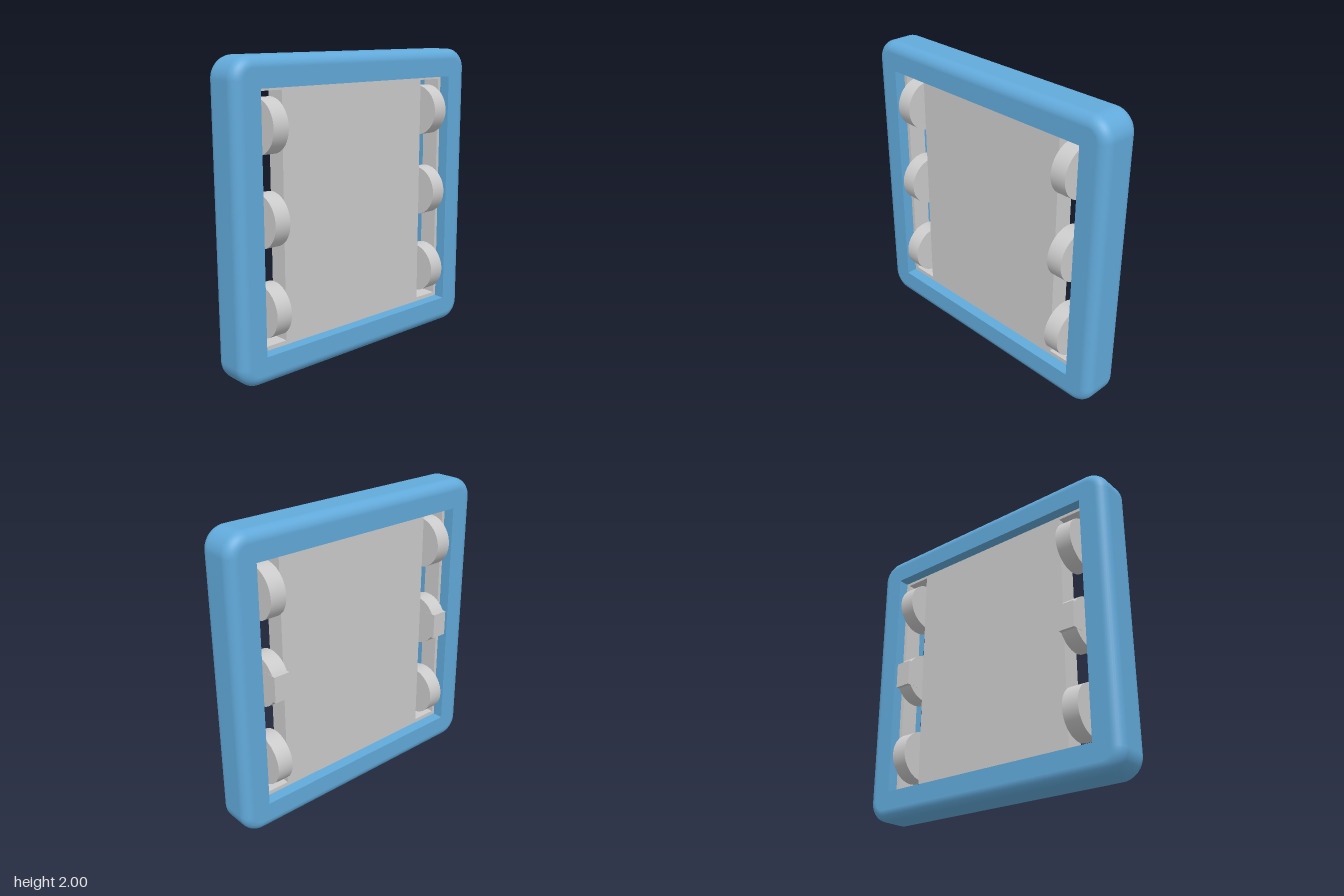
import * as THREE from 'three';

const HX = 0.99, HY = 1.0, HZ = 0.14;   // frame half sizes
const CORNER = 0.14, BEVEL = 0.07;      // corner and edge rounding
const OX = 0.805, OY = 0.8125;          // opening half sizes

const grey = new THREE.MeshStandardMaterial({ color: 0xcccccc });
const blue = new THREE.MeshStandardMaterial({ color: 0x62aadb });

function rectPath(path, x0, y0, x1, y1) {
  return path.moveTo(x0, y0).lineTo(x1, y0).lineTo(x1, y1).lineTo(x0, y1).closePath();
}

function addMesh(parent, name, geometry, material, x = 0, y = 0, z = 0) {
  const mesh = new THREE.Mesh(geometry, material);
  mesh.name = name;
  mesh.position.set(x, y, z);
  parent.add(mesh);
  return mesh;
}

// Frame: rounded outside, sharp rectangular opening
function frameGeometry() {
  const cx = HX - CORNER, cy = HY - CORNER;
  const shape = new THREE.Shape();
  shape.absarc(cx, cy, CORNER, 0, Math.PI / 2);
  shape.absarc(-cx, cy, CORNER, Math.PI / 2, Math.PI);
  shape.absarc(-cx, -cy, CORNER, Math.PI, Math.PI * 1.5);
  shape.absarc(cx, -cy, CORNER, Math.PI * 1.5, Math.PI * 2);
  shape.closePath();
  shape.holes.push(rectPath(new THREE.Path(), -OX, -OY, OX, OY));
  const geo = new THREE.ExtrudeGeometry(shape, {
    depth: 2 * (HZ - BEVEL), curveSegments: 10, bevelSegments: 8,
    bevelSize: BEVEL, bevelThickness: BEVEL, bevelOffset: -BEVEL,
  });
  geo.translate(0, 0, -(HZ - BEVEL));

  // Straighten the walls of the opening
  const pos = geo.attributes.position;
  const inOpening = [];
  for (let i = 0; i < pos.count; i++) {
    const x = pos.getX(i), y = pos.getY(i);
    inOpening[i] = Math.abs(x) < 0.895 && Math.abs(y) < 0.895;
    if (inOpening[i]) pos.setXY(i, Math.sign(x) * OX, Math.sign(y) * OY);
  }
  geo.computeVertexNormals();

  // Smooth normals over the rounded outside
  const clamp = THREE.MathUtils.clamp;
  const p = new THREE.Vector3(), centre = new THREE.Vector3(), out = new THREE.Vector3();
  for (let i = 0; i < pos.count; i++) {
    if (inOpening[i]) continue;
    p.fromBufferAttribute(pos, i);
    if (Math.abs(p.z) > HZ - 1e-4) {
      geo.attributes.normal.setXYZ(i, 0, 0, Math.sign(p.z));
      continue;
    }
    centre.set(clamp(p.x, -cx, cx), clamp(p.y, -cy, cy), 0);
    out.set(p.x - centre.x, p.y - centre.y, 0).normalize();
    centre.addScaledVector(out, CORNER - BEVEL);
    centre.z = clamp(p.z, BEVEL - HZ, HZ - BEVEL);
    p.sub(centre).normalize();
    geo.attributes.normal.setXYZ(i, p.x, p.y, p.z);
  }
  return geo;
}

// Panel: flat plate with a long slot on each side
function panelGeometry() {
  const shape = rectPath(new THREE.Shape(), -OX, -OY, OX, OY);
  for (const x of [-0.78, 0.6]) {
    shape.holes.push(rectPath(new THREE.Path(), x, -0.785, x + 0.18, 0.79));
  }
  const geo = new THREE.ExtrudeGeometry(shape, { depth: 0.13, bevelEnabled: false });
  return geo.translate(0, 0, -0.065);
}

export function createModel() {
  const model = new THREE.Group();
  model.name = 'wheeledPanel';

  addMesh(model, 'frame', frameGeometry(), blue, 0, 1, 0);
  addMesh(model, 'panel', panelGeometry(), grey, 0, 1.0025, 0);

  // Three wheels on short axles in each slot
  const wheelGeo = new THREE.CylinderGeometry(0.172, 0.172, 0.11, 48).rotateZ(Math.PI / 2);
  const axleGeo = new THREE.CylinderGeometry(0.028, 0.028, 0.18, 24).rotateZ(Math.PI / 2);
  const tabGeo = new THREE.BoxGeometry(0.112, 0.175, 0.09);
  for (const [side, s] of [['left', 1], ['right', -1]]) {
    const wheels = new THREE.Group();
    wheels.name = side + 'Wheels';
    for (const y of [0.43, 1.005, 1.58]) {
      addMesh(wheels, 'wheel', wheelGeo, grey, s * 0.69, y, 0);
      addMesh(wheels, 'axle', axleGeo, grey, s * 0.69, y, 0);
    }
    // Square tab on the back of the middle wheel
    addMesh(wheels, 'tab', tabGeo, grey, s * 0.69, 1.003, -0.128);
    model.add(wheels);
  }
  return model;
}
